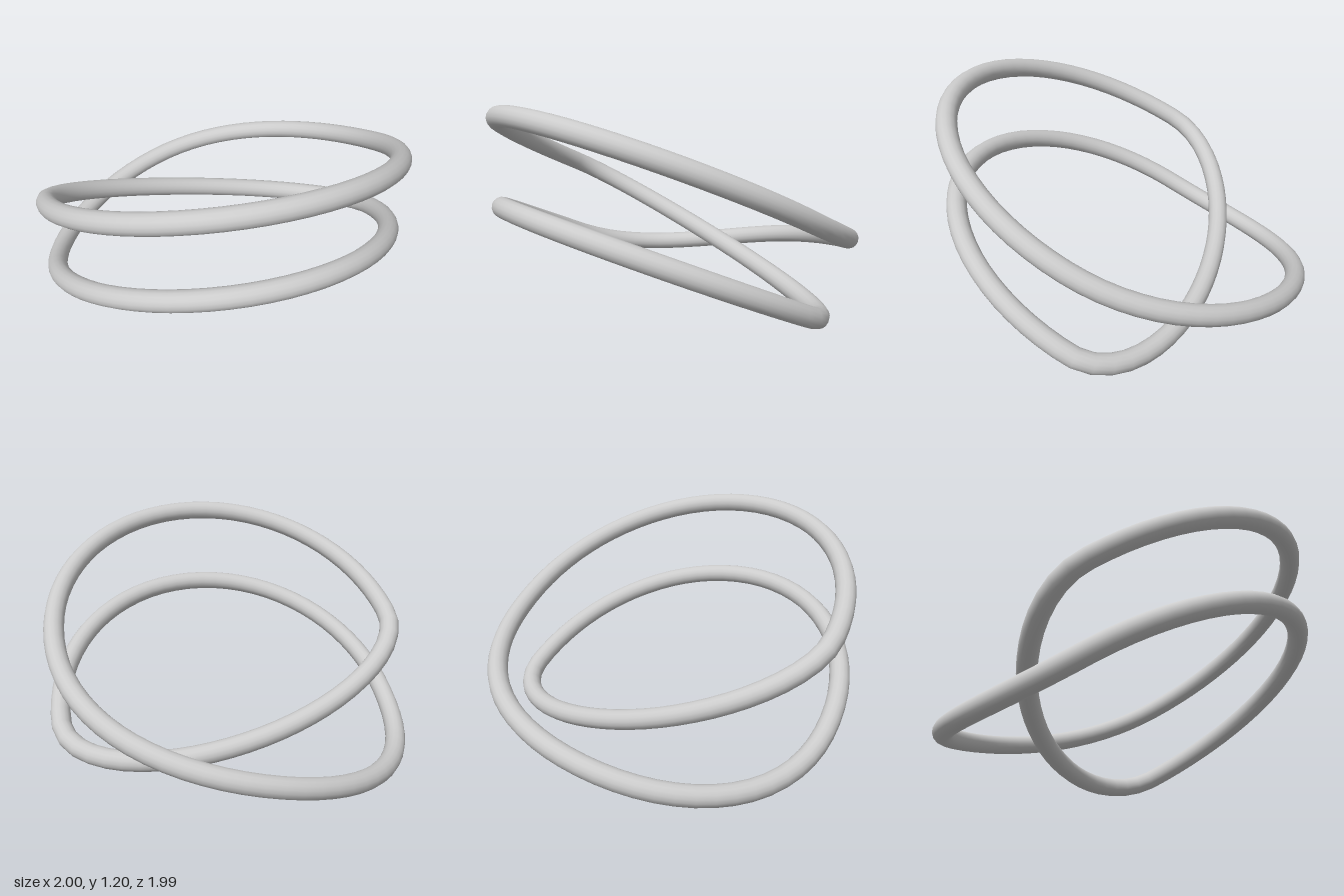
import * as THREE from 'three';

const R = 0.945;      // loop radius (tube centre line)
const H = 0.52;       // handle length for a quarter circle
const TUBE = 0.054;
const LOW = 0.2, HIGH = 0.67;   // heights of the two turns at the sides

const v = (x, y, z) => new THREE.Vector3(x, y, z);

// Each knot: position, travel direction, handle scale before and after it
const slope = v(0, 0.26, H);
const down = slope.clone().negate();
const across = v(H, 0, 0);
const knots = [
  [v(R, HIGH, 0), down, 1, 1],
  [v(0, LOW, -R), v(-H, -0.125, 0), 1, 1],        // wide back bend
  [v(-R, LOW, 0), slope, 1, 1],
  [v(0, LOW + 0.47, R - 0.005), across, 1, 1],    // lower front
  [v(R, LOW, 0), down, 1, 0.5],
  [v(0, LOW, -0.475), v(-H, 0.125, 0), 1, 1],     // narrow back bend
  [v(-R, HIGH, 0), slope, 0.5, 1],
  [v(0, HIGH + 0.47, R - 0.005), across, 1, 1],   // upper front
];

export function createModel() {
  const group = new THREE.Group();
  group.name = 'doubleLoop';

  // Closed two-turn path through the knots
  const path = new THREE.CurvePath();
  knots.forEach(([p, dir, , after], i) => {
    const [q, qDir, before] = knots[(i + 1) % knots.length];
    path.add(new THREE.CubicBezierCurve3(
      p,
      p.clone().addScaledVector(dir, after),
      q.clone().addScaledVector(qDir, -before),
      q
    ));
  });

  // Round wire swept along the path
  const wire = new THREE.Mesh(
    new THREE.TubeGeometry(path, 128, TUBE, 16, true),
    new THREE.MeshStandardMaterial({ color: 0xcccccc })
  );
  wire.name = 'loopedWire';
  group.add(wire);
  return group;
}
